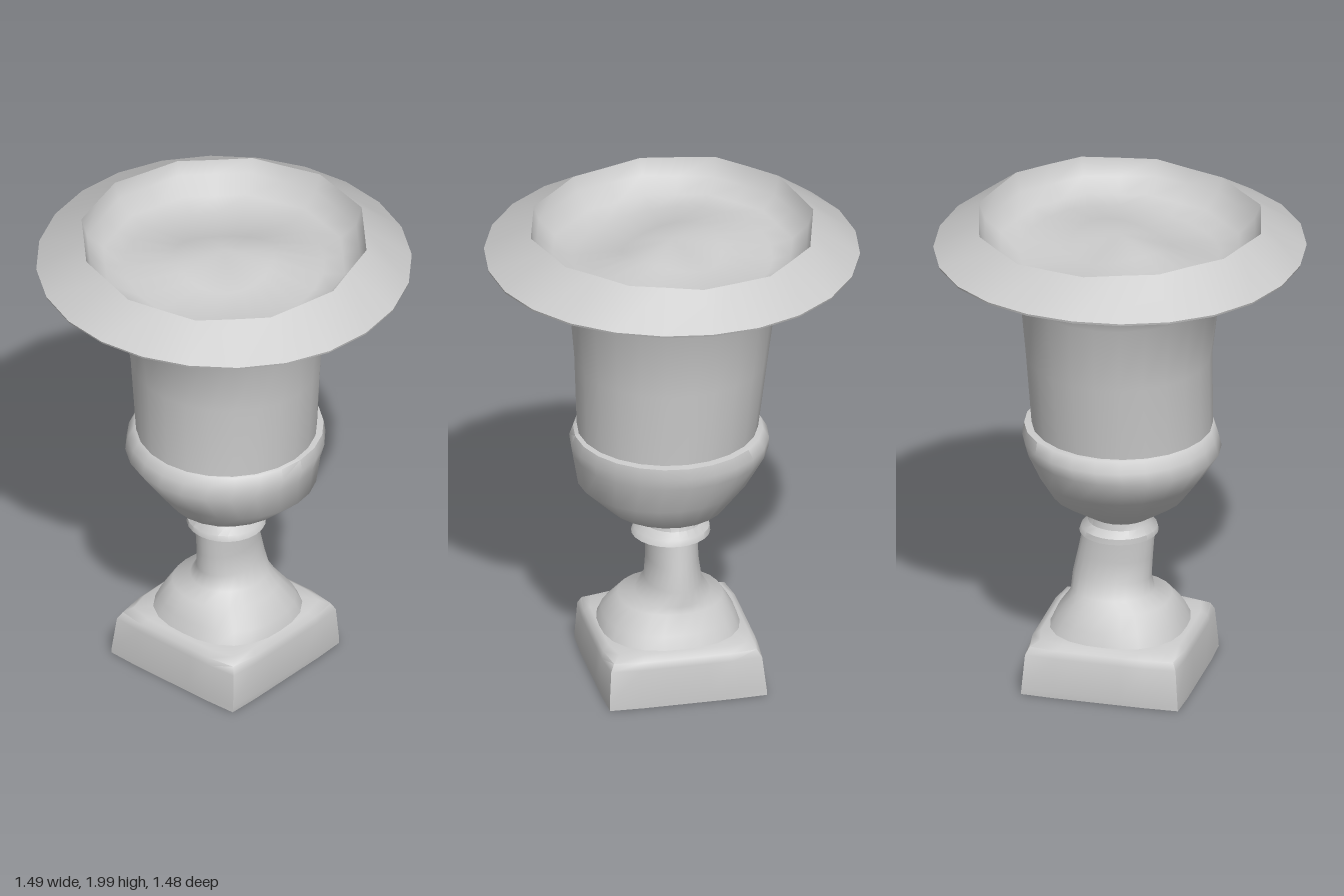
import * as THREE from 'three';
import { toCreasedNormals } from 'three/addons/utils/BufferGeometryUtils.js';

const SEGMENTS = 24;

// Skin through rings of [y, radiusX, radiusZ, centreX, centreZ, squareness, ripple, waves].
// Squareness 2 is round, high values are square; 0 gives a twelve-sided outline.
// Ripple lifts and lowers the ring in the given number of waves.
function loft(name, rings, crease = 1.1) {
  const pos = [], index = [];
  for (const [y, rx, rz, cx = 0, cz = 0, n = 2, ripple = 0, waves = 3] of rings) {
    for (let j = 0; j < SEGMENTS; j++) {
      const t = (j / SEGMENTS) * Math.PI * 2;
      const s = Math.sin(t), c = Math.cos(t);
      const k = n === 0
        ? (j % 2 ? Math.cos(Math.PI / 12) : 1)
        : Math.pow(Math.abs(s) ** n + Math.abs(c) ** n, -1 / n);
      pos.push(cx + rx * k * s, y + ripple * Math.sin(waves * t), cz + rz * k * c);
    }
  }
  for (let i = 0; i < rings.length - 1; i++) {
    for (let j = 0; j < SEGMENTS; j++) {
      const a = i * SEGMENTS + j, b = i * SEGMENTS + (j + 1) % SEGMENTS;
      index.push(a, b, b + SEGMENTS, a, b + SEGMENTS, a + SEGMENTS);
    }
  }
  const geo = new THREE.BufferGeometry();
  geo.setAttribute('position', new THREE.Float32BufferAttribute(pos, 3));
  geo.setIndex(index);
  const mesh = new THREE.Mesh(
    toCreasedNormals(geo, crease),
    new THREE.MeshStandardMaterial({ color: 0xcccccc, side: THREE.DoubleSide })
  );
  mesh.name = name;
  return mesh;
}

export function createModel() {
  const urn = new THREE.Group();
  urn.name = 'gardenUrn';

  // Square block with slightly tapered sides and softened top
  urn.add(loft('plinth', [
    [0.012, 0.001, 0.001],
    [0.005, 0.325, 0.328, 0.005, -0.002, 40],
    [0.03, 0.327, 0.328, 0.006, -0.002, 30],
    [0.17, 0.318, 0.32, 0.01, -0.003, 20],
    [0.20, 0.308, 0.312, 0.012, -0.003, 12],
    [0.22, 0.285, 0.285, 0.012, 0, 8],
    [0.225, 0.22, 0.22, 0.012, 0],
  ]));

  // Domed foot flowing into an oval stem that leans back
  urn.add(loft('footAndStem', [
    [0.21, 0.283, 0.277, 0.017, -0.003, 2.6],
    [0.27, 0.262, 0.25, 0.018, -0.002, 2.4],
    [0.34, 0.208, 0.203, 0.008, 0, 2.2],
    [0.37, 0.15, 0.168, 0.005, -0.03],
    [0.43, 0.113, 0.16, 0.005, -0.033],
    [0.52, 0.103, 0.153, 0.005, -0.02],
    [0.63, 0.102, 0.146, 0.005, -0.005],
  ]));

  // Small ring between stem and bowl
  urn.add(loft('collar', [
    [0.615, 0.09, 0.10],
    [0.622, 0.158, 0.158, 0.007, -0.006],
    [0.645, 0.152, 0.152, 0.003, -0.003],
    [0.67, 0.12, 0.128],
    [0.70, 0.115, 0.122],
  ], 0.65));

  // Rounded lower bowl with a step at its top edge
  urn.add(loft('lowerBowl', [
    [0.68, 0.09, 0.10],
    [0.70, 0.125, 0.13, 0.005, 0],
    [0.77, 0.245, 0.265, 0.03, -0.015],
    [0.87, 0.345, 0.33, 0.038, -0.005],
    [0.99, 0.393, 0.39, 0.008, 0.012],
    [1.04, 0.398, 0.389, 0.012, -0.002],
    [1.085, 0.378, 0.378, 0.018, -0.008],
    [1.09, 0.345, 0.35, 0.018, 0.005],
  ]));

  // Tall flared body running smoothly into the underside of the brim
  urn.add(loft('body', [
    [1.08, 0.36, 0.36, 0.018, 0.005],
    [1.4, 0.386, 0.37, 0.005, -0.005],
    [1.68, 0.417, 0.398, -0.002, 0],
    [1.75, 0.443, 0.44, -0.002, 0.01],
    [1.85, 0.515, 0.53, 0, 0.015],
    [1.857, 0.745, 0.737, 0, 0, 2.03, 0.004],
  ], 1.7));

  // Sloping brim up to the faceted mouth
  urn.add(loft('brim', [
    [1.857, 0.745, 0.737, 0, 0, 2.03, 0.004],
    [1.866, 0.747, 0.74, 0, 0, 2.03, 0.004],
    [1.986, 0.575, 0.58, 0, 0, 0, -0.013, 2],
  ]));

  // Hollow mouth with a fill that rises to a low diagonal ridge
  urn.add(loft('interior', [
    [1.986, 0.575, 0.58, 0, 0, 0, -0.013, 2],
    [1.92, 0.555, 0.555, 0, 0, 0],
    [1.865, 0.49, 0.49, 0, 0, 0, -0.008, 2],
    [1.845, 0.40, 0.40, 0, 0, 2, -0.018, 2],
    [1.875, 0.20, 0.20, 0, 0, 2, -0.025, 2],
    [1.92, 0.001, 0.001],
  ], 1.3));

  return urn;
}
